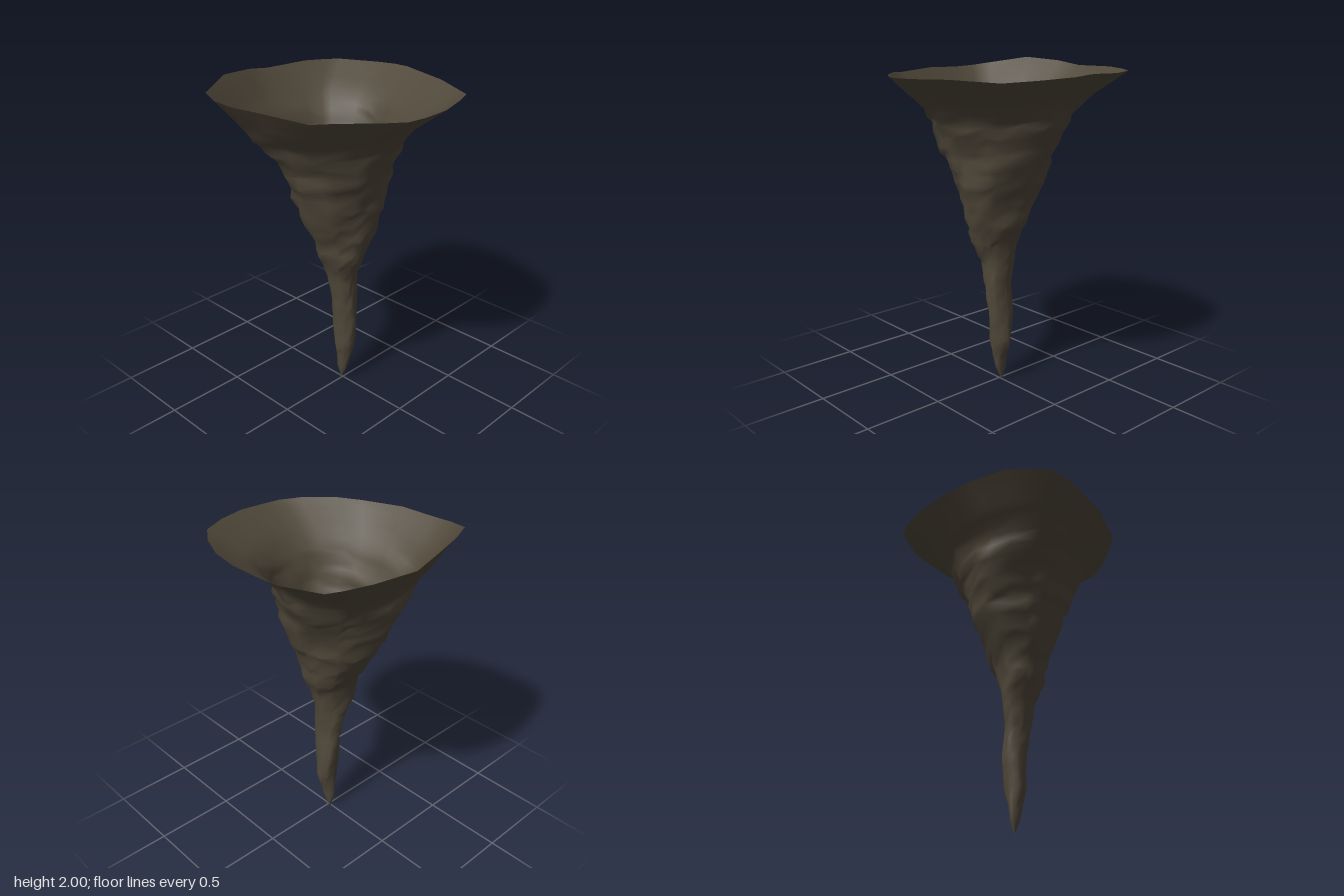
import * as THREE from 'three';

// Funnel cross-sections: height, x min, x max, z min, z max
const sections = [
  [0, 0, 0.01, -0.02, -0.01], [0.08, -0.02, 0.03, -0.045, 0.03],
  [0.18, -0.03, 0.05, -0.05, 0.05], [0.26, -0.05, 0.085, -0.055, 0.07],
  [0.44, -0.05, 0.08, -0.085, 0.085], [0.6, -0.065, 0.065, -0.08, 0.1],
  [0.8, -0.1, 0.075, -0.115, 0.11], [0.95, -0.165, 0.1, -0.15, 0.175],
  [1.0, -0.165, 0.14, -0.16, 0.19], [1.2, -0.245, 0.19, -0.275, 0.245],
  [1.4, -0.31, 0.26, -0.355, 0.3], [1.6, -0.4, 0.32, -0.435, 0.35],
  [1.7, -0.47, 0.365, -0.465, 0.39], [1.8, -0.54, 0.43, -0.54, 0.48],
  [1.95, -0.65, 0.65, -0.665, 0.66],
];

// Uneven rim outline: x, z, height
const rim = [
  [0.65, -0.07, 1.96], [0.64, 0.03, 1.95], [0.595, 0.24, 1.94], [0.505, 0.44, 1.93],
  [0.43, 0.545, 1.94], [0.28, 0.61, 1.945], [0.1, 0.66, 1.94], [-0.07, 0.66, 1.935],
  [-0.19, 0.645, 1.935], [-0.31, 0.575, 1.94], [-0.47, 0.42, 1.94], [-0.56, 0.31, 1.93],
  [-0.63, 0.03, 1.945], [-0.65, -0.19, 1.94], [-0.65, -0.33, 1.945], [-0.61, -0.46, 1.96],
  [-0.38, -0.585, 2.0], [-0.15, -0.64, 1.985], [0.02, -0.665, 1.96], [0.3, -0.63, 1.965],
  [0.45, -0.575, 1.96], [0.53, -0.53, 1.955], [0.63, -0.31, 1.955], [0.65, -0.17, 1.96],
];

function seeded(seed) {
  return () => {
    seed = (seed * 16807) % 2147483647;
    return seed / 2147483647 - 0.5;
  };
}

// Linear interpolation of the section table at a height
function sectionAt(y) {
  let k = 1;
  while (k < sections.length - 1 && sections[k][0] < y) k++;
  const a = sections[k - 1], b = sections[k];
  const t = (y - a[0]) / (b[0] - a[0]);
  return a.map((v, i) => THREE.MathUtils.lerp(v, b[i], t));
}

function funnelGeometry() {
  const rows = 46, cols = rim.length, top = 1.95;
  const rand = seeded(4711);
  const positions = [], index = [];
  for (let i = 0; i <= rows; i++) {
    const y = (top * i) / rows;
    const [, x0, x1, z0, z1] = sectionAt(y);
    const cx = (x0 + x1) / 2, cz = (z0 + z1) / 2;
    const rx = (x1 - x0) / 2, rz = (z1 - z0) / 2;
    const squareness = THREE.MathUtils.smoothstep(y, 1.4, top);
    const lift = THREE.MathUtils.smoothstep(y, 1.7, top);
    // Ledges fade out at the tip and the smooth lip
    const rough = Math.min(1, i / 4) * (1 - THREE.MathUtils.smoothstep(y, 1.65, 1.85));
    const ringBump = rand() * 0.05;
    for (let j = 0; j < cols; j++) {
      const [px, pz, py] = rim[j];
      const ux = px / 0.65, uz = pz / 0.6625;
      const s = THREE.MathUtils.lerp(1 / Math.hypot(ux, uz), 1, squareness);
      const angle = Math.atan2(uz, ux);
      const lumps = 0.035 * Math.sin(3 * angle + y * 9) + 0.025 * Math.sin(5 * angle - y * 14);
      const bump = 1 + rough * (ringBump + lumps + rand() * 0.08);
      positions.push(
        cx + ux * s * rx * bump,
        y + (py - top) * lift + rough * rand() * 0.03,
        cz + uz * s * rz * bump,
      );
    }
  }
  for (let i = 0; i < rows; i++) {
    for (let j = 0; j < cols; j++) {
      const a = i * cols + j, b = i * cols + ((j + 1) % cols);
      index.push(a, a + cols, b, b, a + cols, b + cols);
    }
  }
  const geometry = new THREE.BufferGeometry();
  geometry.setAttribute('position', new THREE.Float32BufferAttribute(positions, 3));
  geometry.setIndex(index);
  geometry.computeVertexNormals();
  return geometry;
}

export function createModel() {
  const group = new THREE.Group();
  group.name = 'funnelCloud';
  const earth = new THREE.MeshStandardMaterial({ color: 0x50483a });
  earth.name = 'dark earth brown';
  earth.side = THREE.DoubleSide;

  // Open, thin-walled funnel
  const funnel = new THREE.Mesh(funnelGeometry(), earth);
  funnel.name = 'funnelWall';
  group.add(funnel);
  return group;
}
